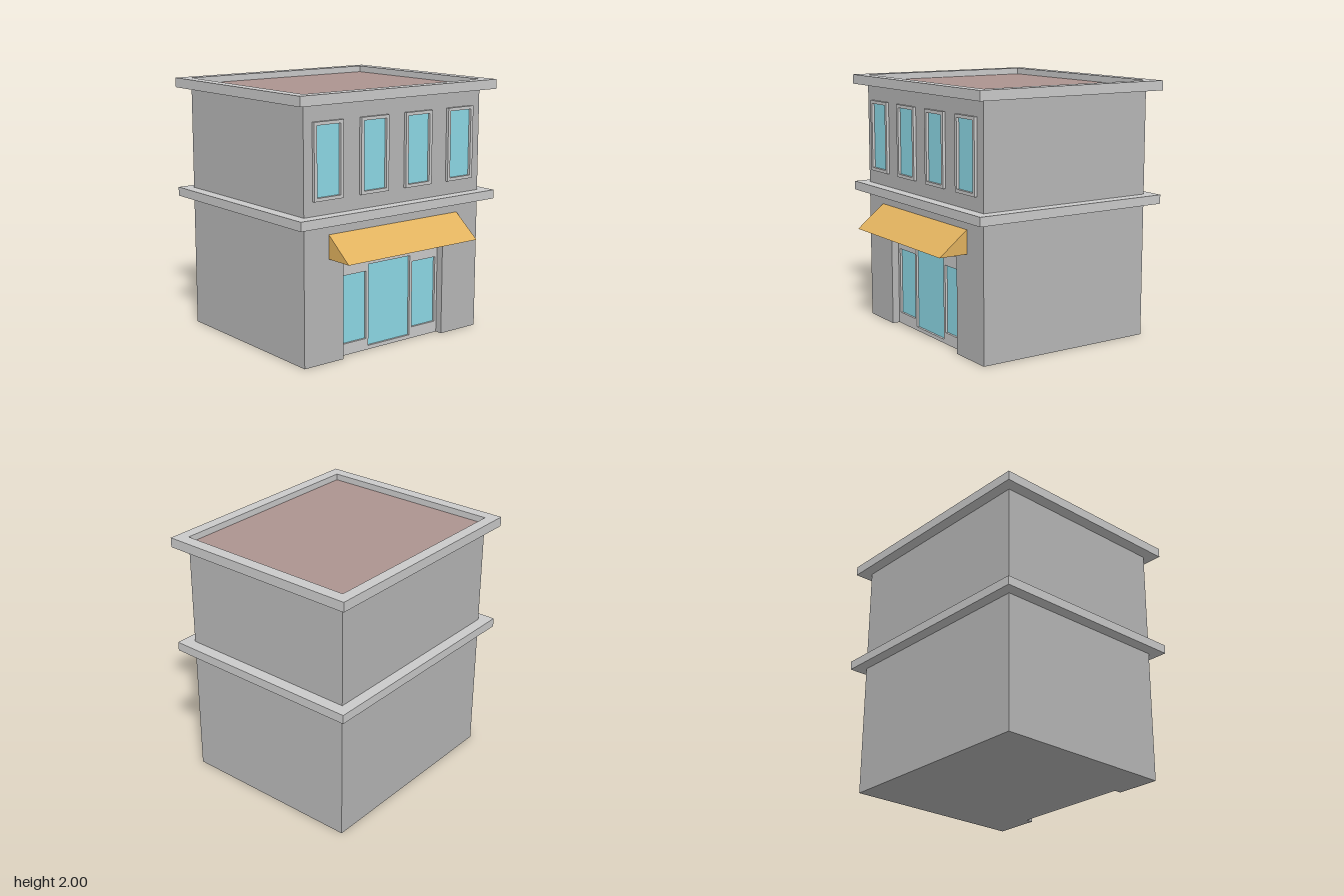
import * as THREE from 'three';

const mat = (color) => new THREE.MeshStandardMaterial({ color });

// Rectangle outline (or hole) from its left, bottom, right and top edges
function rect(x0, y0, x1, y1, Type = THREE.Shape) {
  return new Type([
    new THREE.Vector2(x0, y0), new THREE.Vector2(x1, y0),
    new THREE.Vector2(x1, y1), new THREE.Vector2(x0, y1),
  ]);
}

const extrude = (shape, depth) =>
  new THREE.ExtrudeGeometry(shape, { depth, bevelEnabled: false });

export function createModel() {
  const model = new THREE.Group();
  model.name = 'shopBuilding';
  const trim = mat(0xcccccc);
  const wall = mat(0xb8b8b8);
  const glass = mat(0x8edae8);
  const roofColor = mat(0xad9490);
  const canvas = mat(0xe3b35f);

  const L = -0.86, R = 0.855, BACK = -0.81, FRONT = 0.665; // wall planes
  const RECESS = 0.06, ROOF = 1.95;

  function add(name, geometry, material, parent = model) {
    const mesh = new THREE.Mesh(geometry, material);
    mesh.name = name;
    parent.add(mesh);
    return mesh;
  }
  function box(name, x0, x1, y0, y1, z0, z1, material, parent) {
    const mesh = add(name, new THREE.BoxGeometry(x1 - x0, y1 - y0, z1 - z0), material, parent);
    mesh.position.set((x0 + x1) / 2, (y0 + y1) / 2, (z0 + z1) / 2);
    return mesh;
  }

  // Main body, stopping short of the front wall by the depth of the entrance
  box('body', L, R, 0, 1.94, BACK, FRONT - RECESS - 0.02, wall);

  // Front wall with a notch for the entrance
  const facade = new THREE.Shape([
    [L, 0], [-0.5, 0], [-0.5, 0.74], [0.49, 0.74], [0.49, 0], [R, 0], [R, 1.94], [L, 1.94],
  ].map(([x, y]) => new THREE.Vector2(x, y)));
  add('frontWall', extrude(facade, RECESS + 0.02), wall).position.z = FRONT - RECESS - 0.02;

  // Shopfront panel with openings for the door and the side windows
  const openings = [
    ['doorGlass', -0.212, 0.03, 0.202, 0.67],
    ['leftShopGlass', 0.227, 0.09, 0.467, 0.62],
    ['rightShopGlass', -0.472, 0.09, -0.235, 0.62],
  ];
  const panel = rect(-0.5, 0, 0.49, 0.74);
  for (const [name, x0, y0, x1, y1] of openings) {
    panel.holes.push(rect(x0, y0, x1, y1, THREE.Path));
    box(name, x0, x1, y0, y1, FRONT - RECESS - 0.03, FRONT - RECESS - 0.018, glass);
  }
  add('shopfrontPanel', extrude(panel, 0.02), trim).position.z = FRONT - RECESS - 0.02;

  // Upper windows: projecting frame around a pane
  for (let i = 0; i < 4; i++) {
    const win = new THREE.Group();
    win.name = 'upperWindow';
    win.position.set(-0.65 + i * 0.43, 1.515, FRONT);
    const frame = rect(-0.132, -0.285, 0.132, 0.285);
    frame.holes.push(rect(-0.106, -0.26, 0.106, 0.26, THREE.Path));
    add('windowFrame', extrude(frame, 0.023), trim, win);
    box('windowGlass', -0.106, 0.106, -0.26, 0.26, -0.01, 0.002, glass, win);
    model.add(win);
  }

  // Ledge between the floors and cornice at the roof, as rings around the walls
  for (const [name, y0, height] of [['floorLedge', 1.052, 0.07], ['roofCornice', 1.925, 0.075]]) {
    const ring = rect(-0.952, -0.755, 0.95, 0.897);
    ring.holes.push(rect(L, -FRONT, R, -BACK, THREE.Path));
    const mesh = add(name, extrude(ring, height), trim);
    mesh.rotation.x = -Math.PI / 2;
    mesh.position.y = y0;
  }

  // Sunken roof deck
  box('roofDeck', L, R, 1.93, ROOF, BACK, FRONT, roofColor);

  // Wedge awning: triangular side profile swept along the front
  const profile = new THREE.Shape([
    new THREE.Vector2(0, 0.788), new THREE.Vector2(0.23, 0.788), new THREE.Vector2(0, 0.97),
  ]);
  const awning = add('awning', extrude(profile, 1.268), canvas);
  awning.rotation.y = -Math.PI / 2;
  awning.position.set(0.632, 0, FRONT);

  return model;
}
